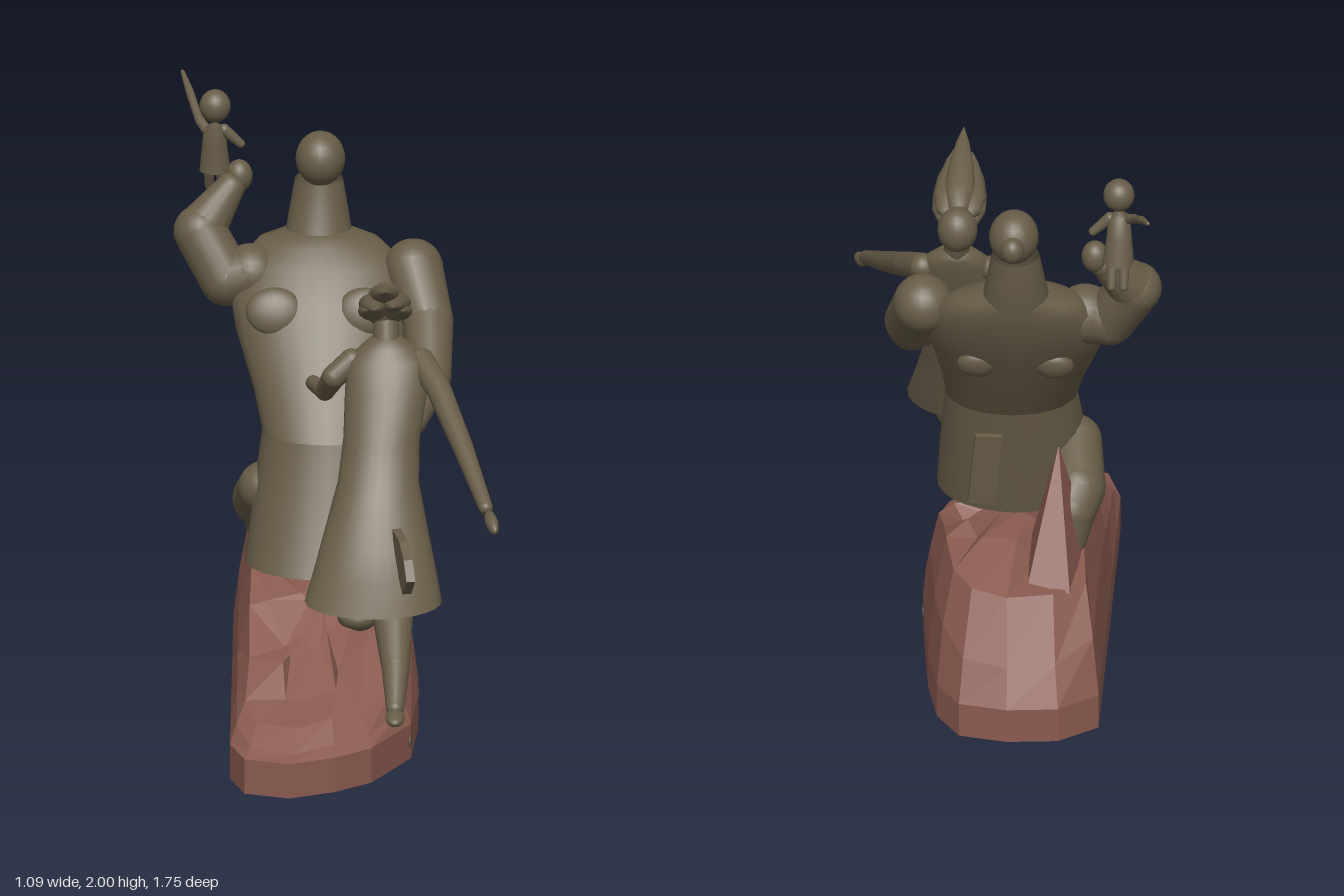
import * as THREE from 'three';
import { ConvexGeometry } from 'three/addons/geometries/ConvexGeometry.js';

const V = (p) => new THREE.Vector3(...p);

export function createModel() {
  const model = new THREE.Group();
  const bronze = new THREE.MeshStandardMaterial({ name: 'bronze', color: 0x675c47, side: THREE.DoubleSide });
  const rock = new THREE.MeshStandardMaterial({ name: 'red rock', color: 0x8a5b50, side: THREE.DoubleSide, flatShading: true });

  const add = (parent, name, geometry, material = bronze) => {
    const mesh = new THREE.Mesh(geometry, material);
    mesh.name = name;
    parent.add(mesh);
    return mesh;
  };
  const group = (name) => {
    const g = new THREE.Group();
    g.name = name;
    model.add(g);
    return g;
  };

  // Skin a stack of rings (arrays of points, listed from the bottom up)
  const skin = (rings, capTop) => {
    const n = rings[0].length, pos = rings.flat(2), idx = [];
    for (let r = 0; r < rings.length - 1; r++) {
      for (let i = 0; i < n; i++) {
        const j = (i + 1) % n, a = r * n + i, b = r * n + j;
        idx.push(a, a + n, b, b, a + n, b + n);
      }
    }
    if (capTop) {
      const top = (rings.length - 1) * n, c = pos.length / 3;
      pos.push(...capTop);
      for (let i = 0; i < n; i++) idx.push(top + i, c, top + (i + 1) % n);
    }
    const g = new THREE.BufferGeometry();
    g.setAttribute('position', new THREE.Float32BufferAttribute(pos, 3));
    g.setIndex(idx);
    g.computeVertexNormals();
    return g;
  };

  // Level oval sections: x, y, z, half width, half depth
  const loft = (sections, cap) => skin(sections.map(([x, y, z, rx, rz]) =>
    Array.from({ length: 28 }, (_, i) => {
      const a = i / 28 * Math.PI * 2;
      return [x + Math.cos(a) * rx, y, z + Math.sin(a) * rz];
    })), cap);

  // Ellipsoid with its long axis along dir
  const blob = (parent, name, at, size, dir = [0, 1, 0]) => {
    const m = add(parent, name, new THREE.SphereGeometry(1, 20, 14));
    m.position.set(...at);
    m.scale.set(...size);
    m.quaternion.setFromUnitVectors(V([0, 1, 0]), V(dir).normalize());
    return m;
  };

  // Tapered limb with round joints; each point is x, y, z, radius
  const limb = (parent, name, pts) => {
    const g = new THREE.Group();
    g.name = name;
    parent.add(g);
    pts.forEach((p, i) => {
      blob(g, name + 'Joint', p.slice(0, 3), [p[3], p[3], p[3]]);
      if (!i) return;
      const q = pts[i - 1], a = V(q.slice(0, 3)), b = V(p.slice(0, 3)), d = b.clone().sub(a);
      const m = add(g, name + 'Segment', new THREE.CylinderGeometry(p[3], q[3], d.length(), 18, 1, true));
      m.position.copy(a).add(b).multiplyScalar(0.5);
      m.quaternion.setFromUnitVectors(V([0, 1, 0]), d.normalize());
    });
  };

  // Rock base: open shell rising towards the back
  const base = group('rockBase');
  const outline = [[.19, -.7], [.23, -.5], [.25, -.3], [.27, -.08], [.27, .1], [.25, .4], [.12, .66], [0, .76],
    [-.15, .83], [-.3, .78], [-.35, .62], [-.35, .38], [-.35, .1], [-.35, -.2], [-.35, -.5], [-.35, -.75],
    [-.22, -.85], [-.05, -.865], [.11, -.83]];
  const slope = [[-.87, .27], [-.8, .36], [-.69, .49], [-.5, .52], [-.35, .55], [-.13, .53], [0, .47],
    [.2, .36], [.42, .28], [.66, .19], [.83, .12]];
  const height = (z) => {
    const i = Math.max(1, slope.findIndex((p) => p[0] >= z));
    const [a, b] = [slope[i - 1], slope[i]];
    return a[1] + (b[1] - a[1]) * (z - a[0]) / (b[0] - a[0]);
  };
  let seed = 7;
  const rand = () => (seed = (seed * 16807) % 2147483647) / 2147483647 - 0.5;
  const ring = (s, k, jitter) => outline.map(([x, z]) => {
    const px = -.04 + (x + .04) * s + rand() * jitter;
    const pz = -.02 + (z + .02) * s + rand() * jitter;
    const low = px > 0 && pz > -.25 ? px * .3 : 0;
    return [px, .12 + (height(pz) - .12 - low) * k + rand() * jitter * .8, pz];
  });
  const rim = (y) => outline.map(([x, z]) => [x, y, z]);
  add(base, 'rock', skin([rim(0), rim(.12), ring(.93, .53, 0), ring(.81, .95, .02), ring(.55, .93, .09),
    ring(.28, .93, .08)], [-.04, .46, -.02]).toNonIndexed(), rock).geometry.computeVertexNormals();
  add(base, 'rockSpike', new ConvexGeometry([[-.2, .89, -.43], [-.3, .48, -.34], [-.1, .48, -.35],
    [-.11, .48, -.64], [-.25, .46, -.67]].map(V)), rock);
  for (const [x, z] of [[.246, .42], [.268, -.09]]) blob(base, 'plug', [x, .065, z], [.005, .02, .02]);

  // Large figure leaning back
  const man = group('largeFigure');
  add(man, 'torso', loft([[-.03, .96, -.18, .22, .18], [-.04, 1.08, -.26, .24, .175], [-.055, 1.25, -.37, .285, .17],
    [-.06, 1.36, -.435, .3, .165], [-.06, 1.45, -.49, .27, .14], [-.065, 1.51, -.53, .2, .12],
    [-.065, 1.54, -.55, .1, .09]], [-.065, 1.55, -.56]));
  add(man, 'coatSkirt', loft([[-.04, .545, -.05, .265, .225], [-.035, .75, -.12, .245, .2],
    [-.03, .96, -.18, .22, .18]]));
  add(man, 'neck', loft([[-.065, 1.5, -.55, .115, .105], [-.065, 1.6, -.58, .098, .095],
    [-.065, 1.7, -.595, .08, .085]]));
  blob(man, 'head', [-.06, 1.768, -.595], [.083, .092, .09]);
  blob(man, 'hairBun', [-.06, 1.765, -.685], [.038, .045, .04]);
  for (const s of [-1, 1]) {
    blob(man, 'chestPlate', [-.06 + s * .15, 1.335, -.285], [.095, .08, .035], [0, 1, -.45]);
    blob(man, 'shoulderBlade', [-.06 + s * .13, 1.23, -.5], [.065, .058, .035], [0, 1, -.5]);
  }
  limb(man, 'leftArm', [[.25, 1.43, -.455, .1], [.3, 1.29, -.32, .085], [.305, 1.16, -.14, .075],
    [.25, 1.06, .04, .05]]);
  blob(man, 'leftHand', [.23, 1.04, .08], [.035, .065, .04], [-.2, -.2, 1]);
  limb(man, 'rightArm', [[-.29, 1.41, -.46, .1], [-.37, 1.39, -.455, .09], [-.46, 1.54, -.51, .088],
    [-.36, 1.67, -.58, .05]]);
  blob(man, 'rightHand', [-.33, 1.705, -.6], [.045, .055, .045]);
  limb(man, 'leftLeg', [[.105, .8, -.08, .1], [.09, .62, .03, .1], [.07, .44, .085, .085]]);
  blob(man, 'leftFoot', [.07, .4, .1], [.07, .05, .08]);
  limb(man, 'rightLeg', [[-.24, .76, -.16, .09], [-.255, .67, -.32, .095], [-.23, .62, -.38, .092],
    [-.2, .42, -.43, .065]]);
  const flap = add(man, 'coatFlap', new THREE.BoxGeometry(.09, .27, .02));
  flap.position.set(.05, .745, -.34);
  flap.rotation.set(-.12, .15, .1);

  // Slender figure reaching forward
  const woman = group('slenderFigure');
  add(woman, 'dress', loft([[.125, .58, .49, .228, .2], [.13, .66, .425, .205, .165], [.133, .75, .36, .18, .13],
    [.14, .92, .255, .135, .1], [.15, 1.05, .19, .127, .093], [.165, 1.2, .13, .137, .085],
    [.168, 1.29, .085, .13, .07], [.167, 1.33, .065, .09, .055], [.165, 1.36, .055, .05, .045]], [.165, 1.37, .05]));
  limb(woman, 'neck', [[.165, 1.33, .06, .045], [.163, 1.42, .03, .042]]);
  blob(woman, 'head', [.16, 1.455, .012], [.067, .078, .068]);
  // Windswept pointed locks: root and tip
  const leaf = new THREE.LatheGeometry([[0, 0], [.7, .1], [1, .3], [.85, .55], [.45, .82], [0, 1]]
    .map(([r, y]) => new THREE.Vector2(r, y)), 16);
  for (const [a, b] of [[[.16, 1.49, .03], [.16, 1.63, .405]], [[.12, 1.48, .04], [.13, 1.555, .37]],
    [[.2, 1.48, .04], [.19, 1.565, .37]], [[.13, 1.45, .04], [.1, 1.53, .3]], [[.19, 1.45, .04], [.225, 1.53, .3]]]) {
    const d = V(b).sub(V(a)), lock = add(woman, 'hairLock', leaf);
    lock.position.set(...a);
    lock.scale.set(.05, d.length(), .036);
    lock.quaternion.setFromUnitVectors(V([0, 1, 0]), d.normalize());
  }
  limb(woman, 'leftArm', [[.28, 1.28, .07, .045], [.34, 1.22, .19, .042], [.42, 1.1, .42, .035], [.5, .97, .68, .024]]);
  blob(woman, 'leftHand', [.52, .935, .73], [.02, .06, .024], [.25, -.35, 1]);
  limb(woman, 'rightArm', [[.05, 1.28, .07, .042], [-.01, 1.23, .09, .04], [-.04, 1.15, 0, .032],
    [-.08, 1.14, -.12, .025]]);
  limb(woman, 'leftLeg', [[.17, .72, .36, .08], [.19, .52, .47, .068], [.2, .4, .64, .047], [.2, .3, .78, .03]]);
  blob(woman, 'leftFoot', [.2, .28, .82], [.032, .058, .022], [0, -.1, 1]);
  limb(woman, 'rightLeg', [[.11, .74, .32, .075], [.1, .63, .2, .062], [.09, .53, .09, .05]]);
  // Raised pleat on the dress
  const pleat = new THREE.Shape([[.44, .815], [.5, .7], [.62, .645], [.69, .71], [.64, .77], [.56, .81]]
    .map(([z, y]) => new THREE.Vector2(-z, y)));
  const fin = add(woman, 'dressPleat', new THREE.ExtrudeGeometry(pleat, { depth: .03, bevelEnabled: false }));
  fin.rotation.y = Math.PI / 2 + .2;
  fin.position.set(.1, 0, .01);

  // Small figure held aloft, with a blade
  const doll = group('smallFigure');
  add(doll, 'body', loft([[-.41, 1.71, -.64, .052, .05], [-.412, 1.8, -.63, .042, .038],
    [-.412, 1.87, -.615, .035, .03]], [-.41, 1.89, -.61]));
  blob(doll, 'head', [-.41, 1.945, -.61], [.052, .056, .052]);
  for (const x of [-.43, -.39]) limb(doll, 'leg', [[x, 1.74, -.655, .02], [x, 1.64, -.69, .015]]);
  limb(doll, 'leftArm', [[-.38, 1.86, -.615, .02], [-.325, 1.81, -.62, .015]]);
  limb(doll, 'rightArm', [[-.44, 1.86, -.62, .018], [-.465, 1.885, -.66, .015]]);
  limb(doll, 'blade', [[-.46, 1.875, -.645, .014], [-.495, 1.94, -.77, .014], [-.52, 1.98, -.865, .007]]);
  return model;
}
